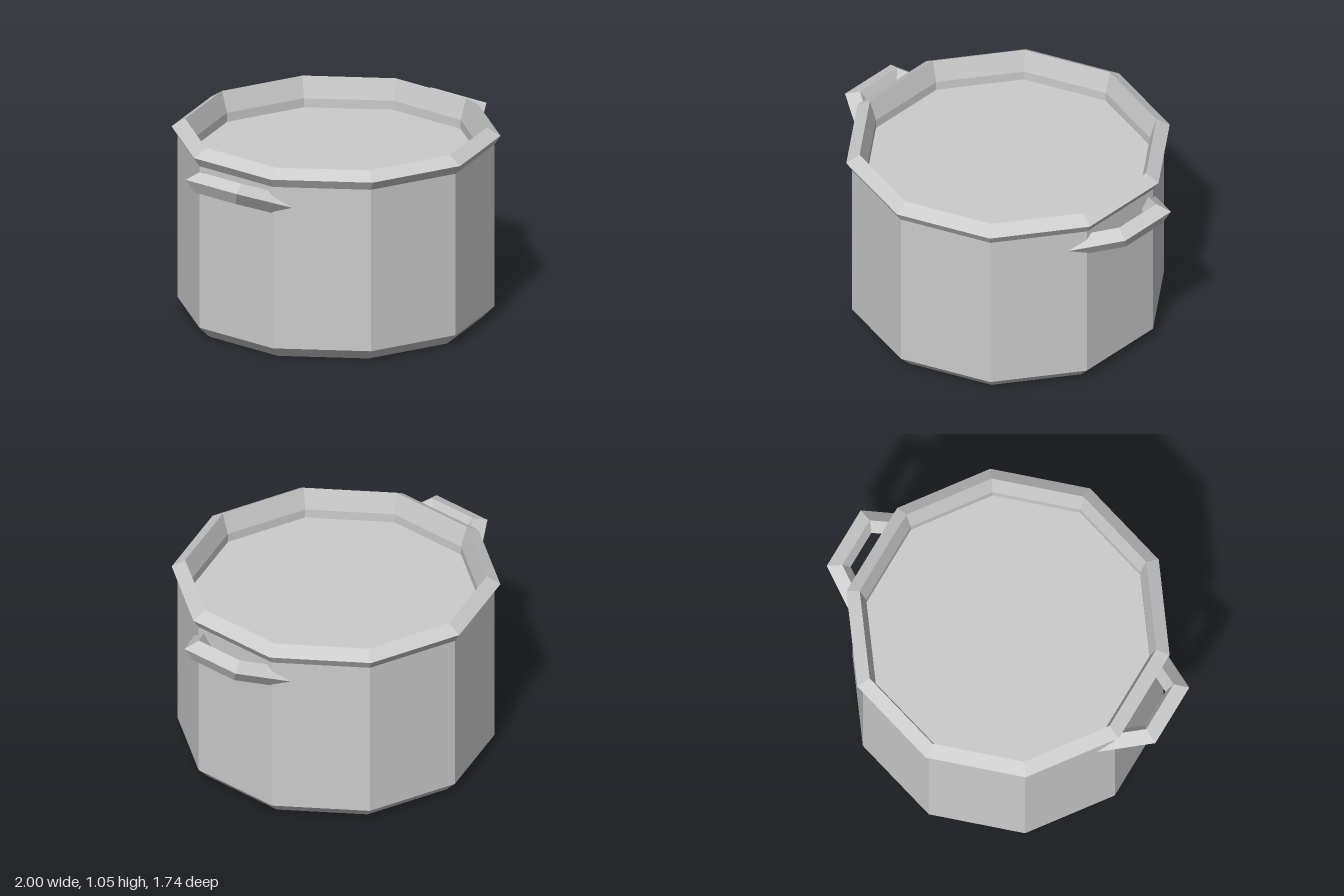
import * as THREE from 'three';

const SIDES = 10;
const material = new THREE.MeshStandardMaterial({ color: 0xcccccc, flatShading: true });

function lathe(name, points) {
  const profile = points.map(([r, y]) => new THREE.Vector2(r, y));
  const mesh = new THREE.Mesh(new THREE.LatheGeometry(profile, SIDES), material);
  mesh.name = name;
  return mesh;
}

// Diamond-section bar with mitred corners, running from one leg to the other
function handleGeometry() {
  // x, y, half length at the outer bar, and how far the edge runs into the wall
  const edges = [
    [1.0, 0.953, 0.18, 1.04],   // outermost
    [0.925, 0.985, 0.145, 0.74], // top
    [0.895, 0.915, 0.11, 0.72],  // innermost
    [0.97, 0.883, 0.145, 0.74],  // bottom
  ];
  const leg = [-0.25, -0.102, 0.155];
  const sections = [[-1, 1], [-1, 0], [1, 0], [1, 1]].map(([side, out]) =>
    edges.map(([x, y, z, reach]) => {
      const k = reach * out;
      return [x + leg[0] * k, y + leg[1] * k, side * (z + leg[2] * k)];
    }));

  const positions = [];
  for (let s = 0; s < 3; s++) {
    for (let i = 0; i < 4; i++) {
      const j = (i + 1) % 4;
      const a = sections[s][i], b = sections[s][j];
      const c = sections[s + 1][j], d = sections[s + 1][i];
      positions.push(...a, ...b, ...c, ...a, ...c, ...d);
    }
  }
  const geometry = new THREE.BufferGeometry();
  geometry.setAttribute('position', new THREE.Float32BufferAttribute(positions, 3));
  geometry.computeVertexNormals();
  return geometry;
}

export function createModel() {
  const model = new THREE.Group();
  model.name = 'cookingPot';

  // Bevelled base, straight wall, flared rim and short inner lip
  model.add(lathe('potBody', [
    [0, 0], [0.78, 0], [0.84, 0.06], [0.84, 0.96],
    [0.872, 1.01], [0.8, 1.055], [0.765, 0.94], [0.765, 0.89],
  ]));

  // Flat surface inside the rim
  model.add(lathe('potContents', [[0.765, 0.89], [0, 0.89]]));

  // Two opposite handles
  const geometry = handleGeometry();
  [['leftHandle', 0], ['rightHandle', Math.PI]].forEach(([name, angle]) => {
    const handle = new THREE.Mesh(geometry, material);
    handle.name = name;
    handle.rotation.y = angle;
    model.add(handle);
  });

  return model;
}
